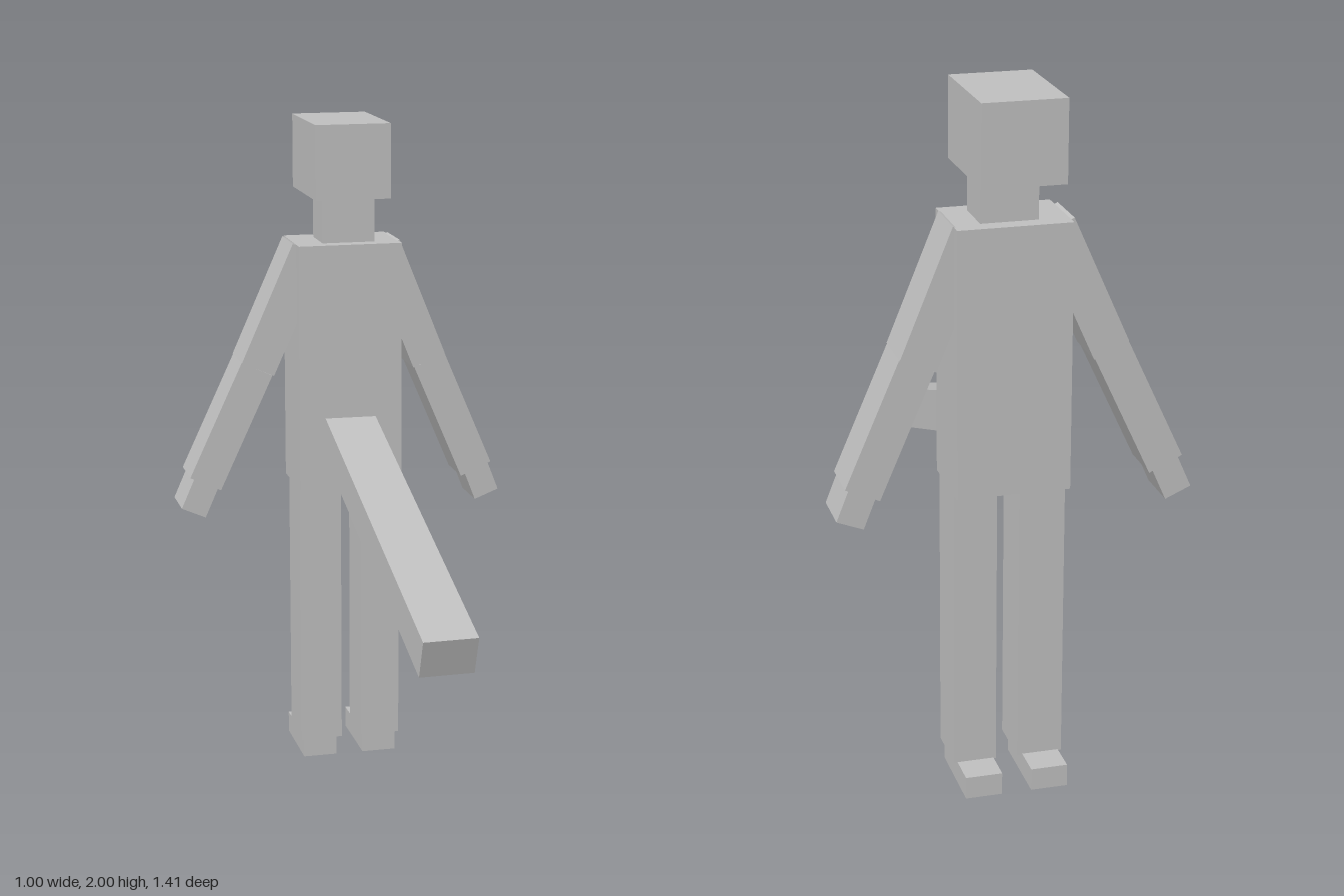
import * as THREE from 'three';

export function createModel() {
  const group = new THREE.Group();
  const grey = new THREE.MeshStandardMaterial({ color: 0xbfbfbf });
  grey.name = 'plainGrey';

  // Upright block given by its limits on each axis
  function block(name, [x0, x1], [y0, y1], [z0, z1]) {
    const mesh = new THREE.Mesh(new THREE.BoxGeometry(x1 - x0, y1 - y0, z1 - z0), grey);
    mesh.position.set((x0 + x1) / 2, (y0 + y1) / 2, (z0 + z1) / 2);
    mesh.name = name;
    group.add(mesh);
  }

  // Slanted block of an arm: outer edge from a to b, thickness towards the body
  function limb(name, side, a, b, width, [z0, z1]) {
    const dx = b[0] - a[0], dy = b[1] - a[1], length = Math.hypot(dx, dy);
    const mesh = new THREE.Mesh(new THREE.BoxGeometry(width, length, z1 - z0), grey);
    mesh.position.set(
      (a[0] + b[0]) / 2 + side * (dy / length) * width / 2,
      (a[1] + b[1]) / 2 - side * (dx / length) * width / 2,
      (z0 + z1) / 2);
    mesh.rotation.z = Math.atan2(dx, -dy);
    mesh.name = name;
    group.add(mesh);
  }

  // Head, neck and body
  block('head', [-0.09, 0.14], [1.775, 2], [-0.705, -0.373]);
  block('neck', [-0.06, 0.10], [1.635, 1.775], [-0.55, -0.418]);
  block('torso', [-0.143, 0.175], [0.885, 1.64], [-0.598, -0.373]);

  // Legs and feet, toes towards the back of the frame
  for (const [side, leg, foot] of [
    ['right', [-0.14, -0.01], [-0.13, -0.025]],
    ['left', [0.053, 0.175], [0.06, 0.165]],
  ]) {
    block(side + 'Thigh', leg, [0.45, 0.89], [-0.56, -0.403]);
    block(side + 'Shin', leg, [0.062, 0.45], [-0.56, -0.403]);
    block(side + 'Foot', foot, [0, 0.065], [-0.653, -0.413]);
  }

  // Arms
  const upperZ = [-0.567, -0.413], lowerZ = [-0.56, -0.418];
  for (const [name, side, shoulder, elbow, wrist, palm, tip] of [
    ['right', -1, [-0.153, 1.643], [-0.313, 1.285], [-0.477, 0.935], [-0.463, 0.935], [-0.505, 0.84]],
    ['left', 1, [0.178, 1.643], [0.323, 1.285], [0.475, 0.93], [0.463, 0.935], [0.50, 0.84]],
  ]) {
    limb(name + 'UpperArm', side, shoulder, elbow, 0.108, upperZ);
    limb(name + 'Forearm', side, elbow, wrist, 0.104, lowerZ);
    limb(name + 'Hand', side, palm, tip, 0.08, lowerZ);
  }

  // Long straight tail sloping down
  const start = new THREE.Vector3(0.014, 1.055, -0.40);
  const end = new THREE.Vector3(0.036, 0.685, 0.685);
  const tail = new THREE.Mesh(new THREE.BoxGeometry(0.157, 0.118, start.distanceTo(end)), grey);
  tail.position.copy(start).add(end).multiplyScalar(0.5);
  tail.lookAt(end);
  tail.name = 'tail';
  group.add(tail);

  return group;
}
